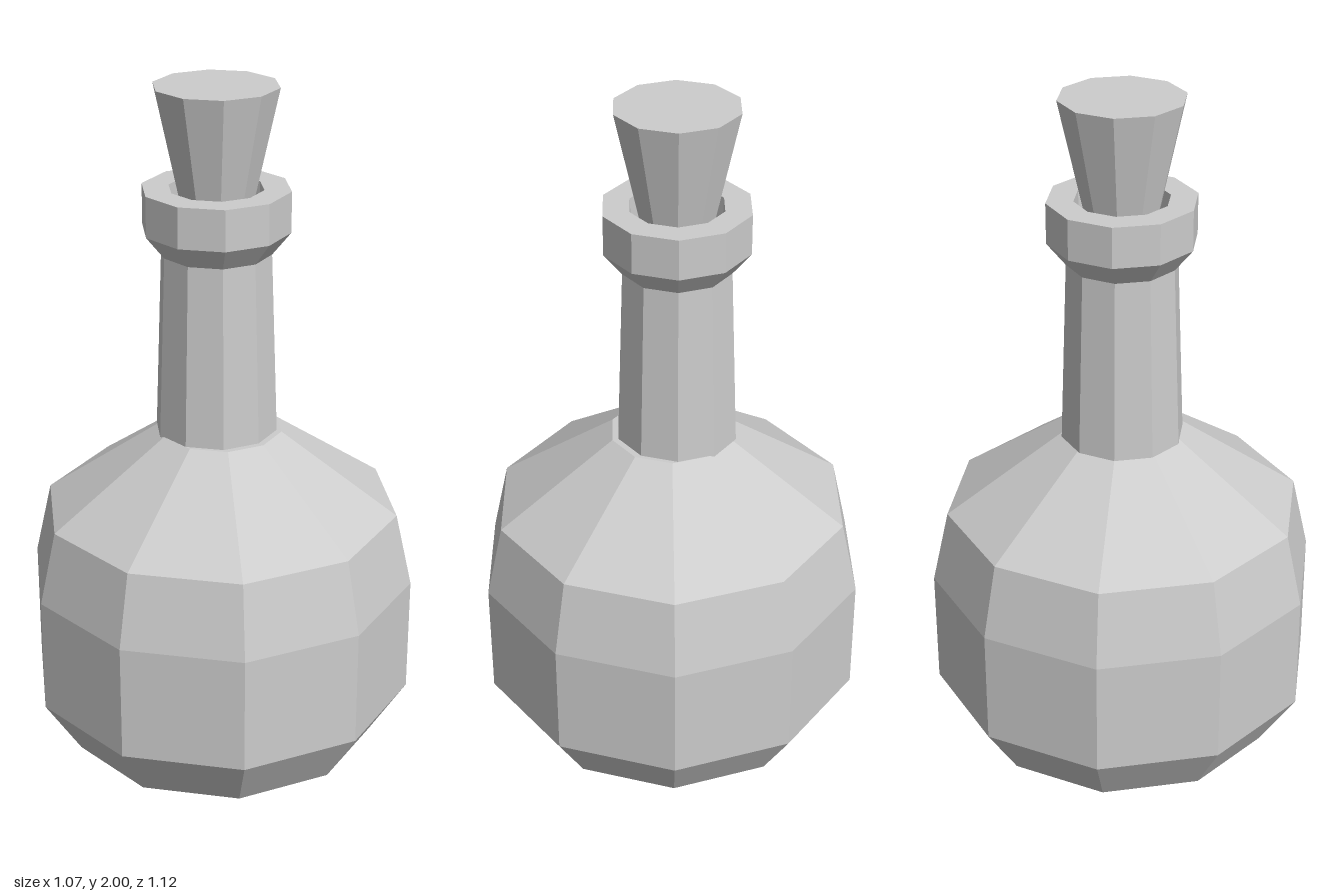
import * as THREE from 'three';

const SIDES = 10;
const TWIST = -0.031; // the rings are turned slightly off axis

export function createModel() {
  const group = new THREE.Group();
  const glass = new THREE.MeshStandardMaterial({ color: 0xcccccc });
  glass.flatShading = true;

  // Ten-sided turned part from a [radius, height] profile, bottom to top
  function turned(name, profile, z = 0) {
    const points = profile.map(([r, y]) => new THREE.Vector2(r, y));
    const mesh = new THREE.Mesh(new THREE.LatheGeometry(points, SIDES, TWIST), glass);
    mesh.name = name;
    mesh.position.z = z;
    group.add(mesh);
  }

  // Round belly with a flat base and sloping shoulder
  turned('body', [
    [0, 0], [0.265, 0], [0.452, 0.068], [0.558, 0.235],
    [0.558, 0.575], [0.51, 0.787], [0.175, 1.02], [0, 1.02],
  ]);

  // The neck stands slightly behind the body's axis
  const neckZ = -0.017;
  turned('neck', [[0, 1.015], [0.174, 1.015], [0.155, 1.54]], neckZ);

  // Flared lip with an open mouth
  turned('lip', [
    [0.155, 1.54], [0.207, 1.605], [0.207, 1.72],
    [0.132, 1.72], [0.125, 1.56], [0, 1.56],
  ], neckZ);

  // Tapered stopper
  turned('stopper', [[0, 1.6], [0.085, 1.6], [0.173, 2], [0, 2]], neckZ);

  return group;
}
